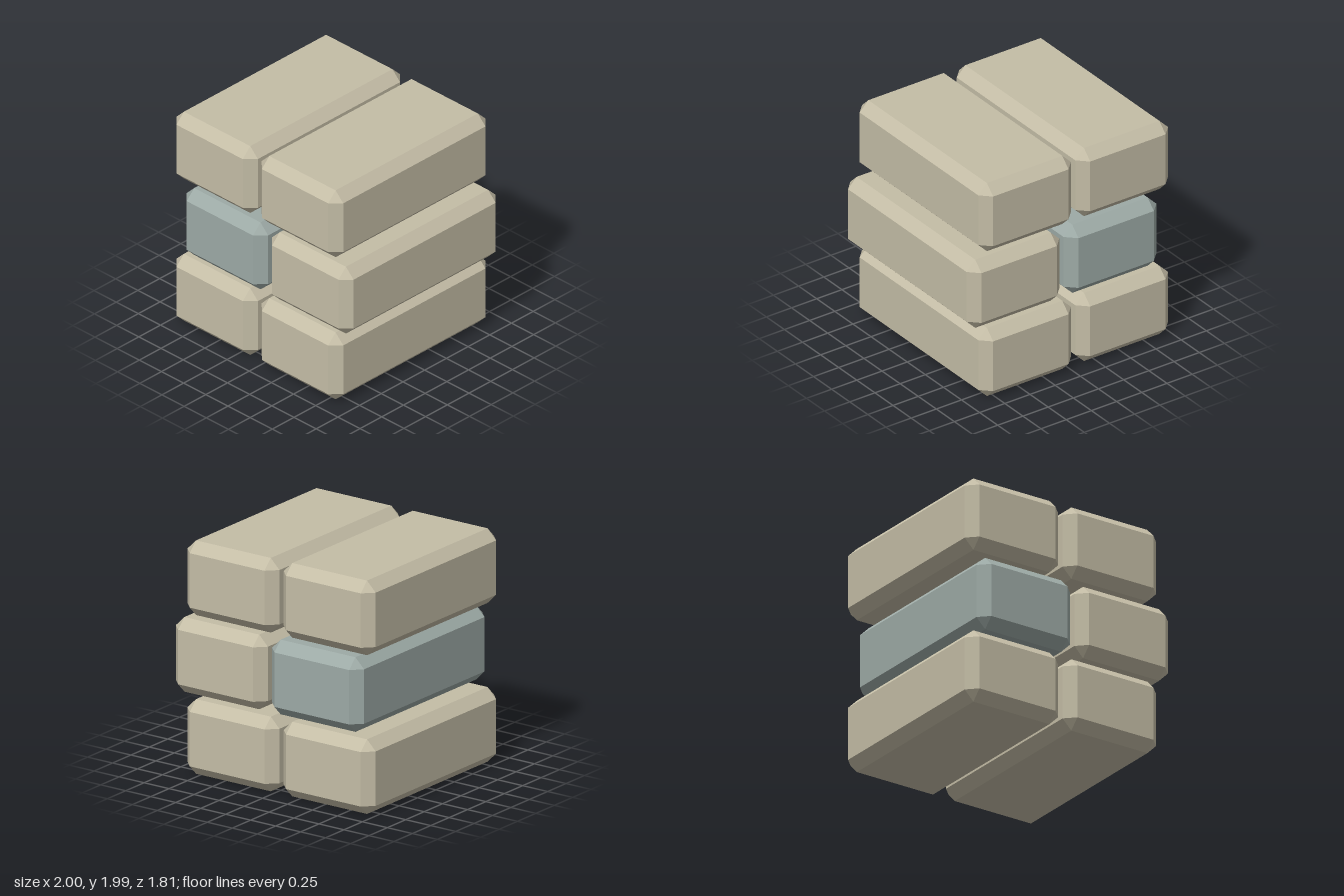
import * as THREE from 'three';
import { ConvexGeometry } from 'three/addons/geometries/ConvexGeometry.js';

// Box with flat 45 degree bevels on every edge and a triangle at each corner
function bevelledBox(width, height, depth, bevel) {
  const half = [width / 2, height / 2, depth / 2];
  const points = [];
  for (const sx of [-1, 1]) for (const sy of [-1, 1]) for (const sz of [-1, 1]) {
    for (let face = 0; face < 3; face++) {
      const [x, y, z] = half.map((h, axis) => (axis === face ? h : h - bevel));
      points.push(new THREE.Vector3(sx * x, sy * y, sz * z));
    }
  }
  return new ConvexGeometry(points);
}

export function createModel() {
  const model = new THREE.Group();
  model.name = 'brickStack';

  const width = 0.92, height = 0.635, depth = 1.81, bevel = 0.086;
  const rowStep = 0.675, columnStep = 0.963;
  const brick = bevelledBox(width, height, depth, bevel);
  const sand = new THREE.MeshStandardMaterial({ color: 0xc4bda6, flatShading: true });
  const slate = new THREE.MeshStandardMaterial({ color: 0x9daaa6, flatShading: true });

  // Three courses of two bricks, the middle course shifted sideways
  for (let row = 0; row < 3; row++) {
    const shift = row === 1 ? 0.058 : -0.058;
    for (const side of [-1, 1]) {
      const accent = row === 1 && side === -1;
      const mesh = new THREE.Mesh(brick, accent ? slate : sand);
      mesh.name = accent ? 'accentBrick' : `brickRow${row + 1}${side < 0 ? 'Right' : 'Left'}`;
      mesh.position.set(side * columnStep / 2 + shift, height / 2 + row * rowStep, 0);
      model.add(mesh);
    }
  }
  return model;
}
